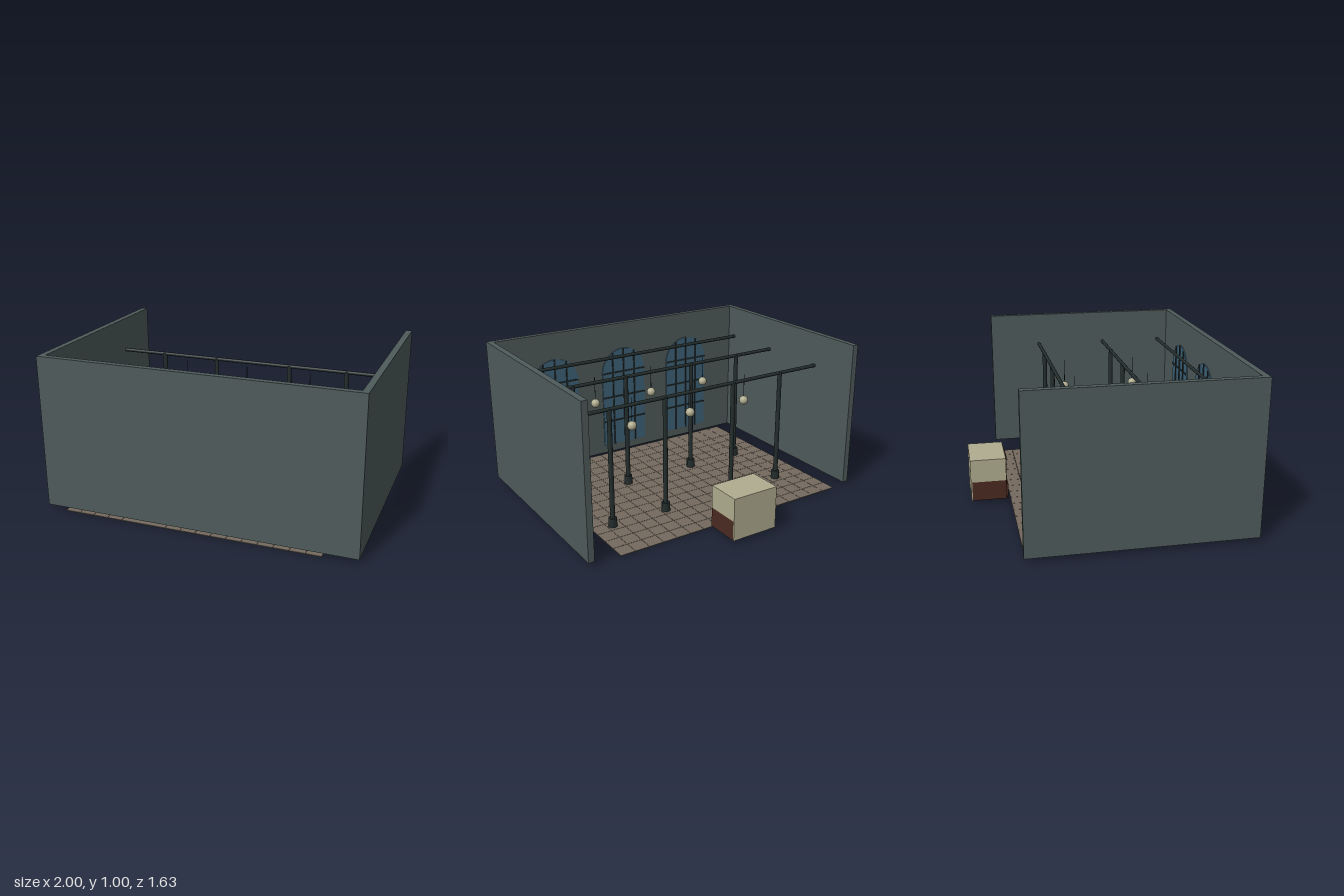
import * as THREE from 'three';
import { mergeGeometries } from 'three/addons/utils/BufferGeometryUtils.js';

export function createModel() {
  const group = new THREE.Group();
  const mat = (name, color) => {
    const m = new THREE.MeshStandardMaterial({ color });
    m.name = name;
    return m;
  };
  const wallGrey = mat('wallGrey', 0x4f5b5b);
  const tileBrown = mat('tileBrown', 0x746a5f);
  const iron = mat('iron', 0x242d2d);
  const glassBlue = mat('glassBlue', 0x3f647b);
  const cream = mat('cream', 0xb0ac90);
  const wood = mat('wood', 0x4a2b22);

  const add = (name, geometry, material, x = 0, y = 0, z = 0, parent = group) => {
    const mesh = new THREE.Mesh(geometry, material);
    mesh.name = name;
    mesh.position.set(x, y, z);
    parent.add(mesh);
    return mesh;
  };
  // box given by its lower and upper corners
  const box = (name, material, [x0, y0, z0], [x1, y1, z1], parent = group) =>
    add(name, new THREE.BoxGeometry(x1 - x0, y1 - y0, z1 - z0), material,
      (x0 + x1) / 2, (y0 + y1) / 2, (z0 + z1) / 2, parent);
  const subgroup = (name) => {
    const g = new THREE.Group();
    g.name = name;
    group.add(g);
    return g;
  };

  // floor of square tiles with narrow joints
  const tiles = [];
  const pitch = 0.098;
  for (let i = 0; i < 17; i++) {
    for (let j = 0; j < 14; j++) {
      const t = new THREE.BoxGeometry(pitch - 0.002, 0.005, pitch - 0.002);
      t.translate(-0.882 + (i + 0.5) * pitch, 0.0025, -0.564 + (j + 0.5) * pitch);
      tiles.push(t);
    }
  }
  add('floorTiles', mergeGeometries(tiles), tileBrown);

  // three walls, open towards the back
  box('frontWall', wallGrey, [-1, 0.03, 0.775], [1, 1.005, 0.815]);
  box('leftWall', wallGrey, [0.96, 0.03, -0.575], [1, 1.005, 0.775]);
  box('rightWall', wallGrey, [-1, 0.03, -0.575], [-0.96, 1.005, 0.775]);

  // ceiling beams
  for (const z of [-0.22, 0.27, 0.705]) {
    const beam = add('beam', new THREE.CylinderGeometry(0.012, 0.012, 1.92, 10), iron, 0, 0.78, z);
    beam.rotation.z = Math.PI / 2;
  }

  // columns with wider bases
  const shaft = new THREE.CylinderGeometry(0.015, 0.016, 0.78, 10);
  const base = new THREE.CylinderGeometry(0.028, 0.03, 0.06, 8);
  for (const z of [-0.22, 0.27]) {
    for (const x of [-0.65, -0.26, 0.26, 0.65]) {
      add('columnShaft', shaft, iron, x, 0.395, z);
      add('columnBase', base, iron, x, 0.035, z);
    }
  }

  // hanging globe lamps
  const globe = new THREE.SphereGeometry(0.03, 16, 12);
  const cord = new THREE.CylinderGeometry(0.002, 0.002, 0.16, 6);
  for (const z of [-0.11, 0.38]) {
    for (const x of [-0.435, 0, 0.435]) {
      add('lampGlobe', globe, cream, x, 0.595, z);
      add('lampCord', cord, iron, x, 0.70, z);
    }
  }

  // arched windows on the inside of the front wall
  const r = 0.173, sill = 0.09, spring = 0.645;
  const arch = new THREE.Shape();
  arch.moveTo(-r, sill);
  arch.lineTo(r, sill);
  arch.lineTo(r, spring);
  arch.absarc(0, spring, r, 0, Math.PI, false);
  arch.lineTo(-r, sill);
  const pane = new THREE.ExtrudeGeometry(arch, { depth: 0.007, bevelEnabled: false, curveSegments: 16 });
  for (const x of [-0.543, 0, 0.543]) {
    const win = subgroup('archedWindow');
    win.position.x = x;
    add('windowGlass', pane, glassBlue, 0, 0, 0.768, win);
    for (const o of [-0.088, 0, 0.088]) {
      const top = spring + Math.sqrt(r * r - o * o);
      box('verticalBar', iron, [o - 0.005, sill, 0.761], [o + 0.005, top, 0.769], win);
    }
    for (const y of [0.275, 0.46, 0.645]) {
      box('crossBar', iron, [-r, y - 0.005, 0.761], [r, y + 0.005, 0.769], win);
    }
  }

  // small ring standing before a window
  add('ring', new THREE.TorusGeometry(0.06, 0.007, 8, 24), glassBlue, 0.498, 0.31, 0.66);

  // counter cabinet behind the open side
  const cabinet = subgroup('cabinet');
  box('cabinetTop', cream, [-0.158, 0.155, -0.81], [0.158, 0.305, -0.59], cabinet);
  box('cabinetBack', cream, [-0.158, 0.028, -0.818], [0.158, 0.305, -0.81], cabinet);
  box('cabinetBody', wood, [-0.158, 0.028, -0.81], [0.158, 0.155, -0.59], cabinet);
  box('cabinetFront', wood, [-0.115, 0.028, -0.59], [0.115, 0.295, -0.584], cabinet);
  box('cabinetSkirt', wood, [-0.112, 0.004, -0.584], [0.112, 0.11, -0.576], cabinet);
  for (const x of [-0.075, -0.025, 0.025, 0.075]) {
    const knob = add('knob', new THREE.CylinderGeometry(0.018, 0.018, 0.006, 12), iron, x, 0.275, -0.582, cabinet);
    knob.rotation.x = Math.PI / 2;
  }

  return group;
}
